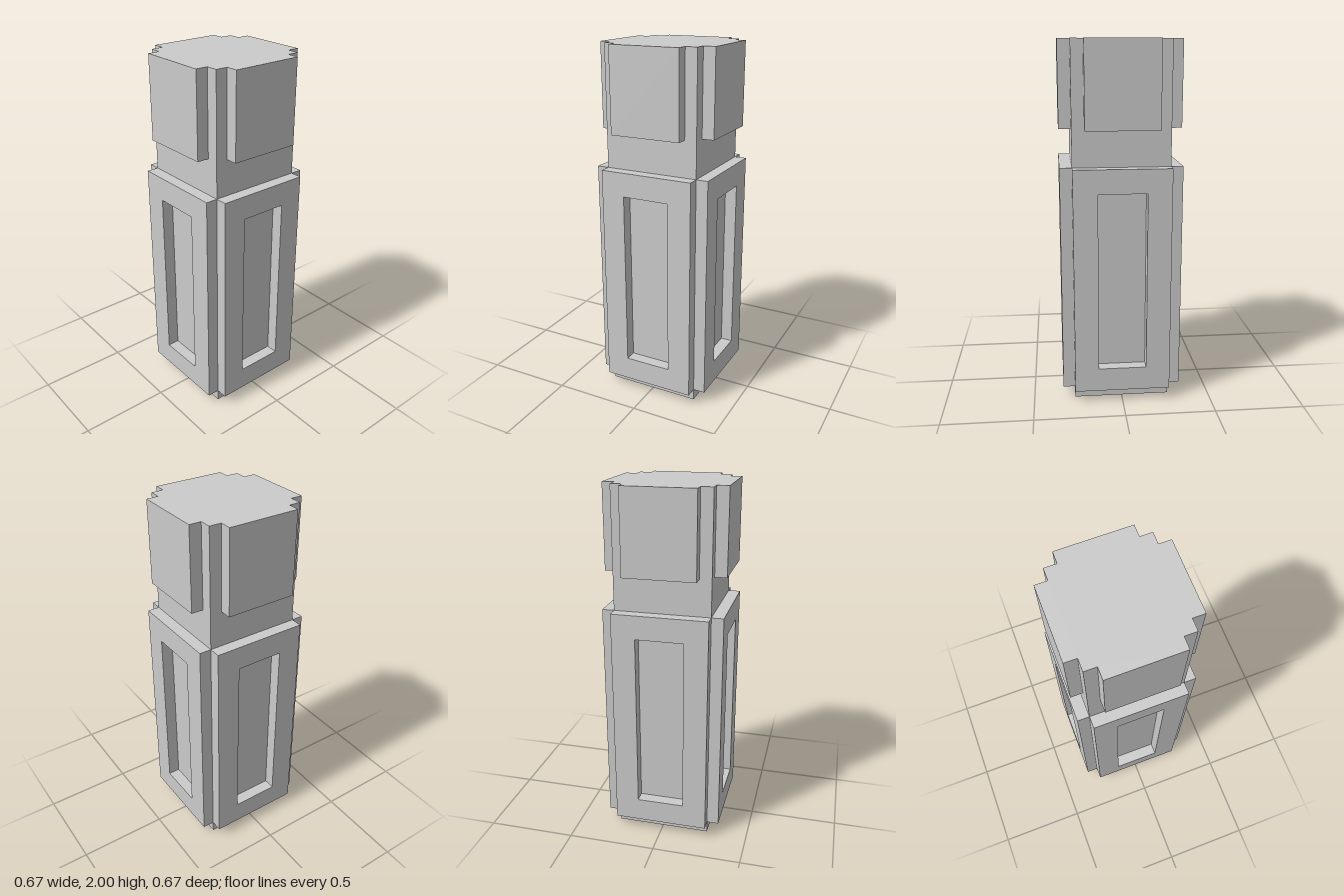
import * as THREE from 'three';

const CORE = 0.2667; // half width of the square core
const DEPTH = 0.0667; // thickness of the applied panels

// Counter-clockwise rectangle centred on x = 0
function rectangle(Type, halfWidth, bottom, top) {
  const shape = new Type();
  shape.moveTo(-halfWidth, bottom);
  shape.lineTo(halfWidth, bottom);
  shape.lineTo(halfWidth, top);
  shape.lineTo(-halfWidth, top);
  shape.closePath();
  return shape;
}

export function createModel() {
  const model = new THREE.Group();
  model.name = 'pillar';
  const material = new THREE.MeshStandardMaterial({ color: 0xcccccc, flatShading: true });

  // Square core running the full height
  const core = new THREE.Mesh(new THREE.BoxGeometry(CORE * 2, 2, CORE * 2), material);
  core.name = 'core';
  core.position.y = 1;
  model.add(core);

  // Lower panel is a frame around a recess, upper panel is a plain block
  const frame = rectangle(THREE.Shape, CORE, 0.0667, 1.3333);
  frame.holes.push(rectangle(THREE.Path, 0.1333, 0.2, 1.2));
  const block = rectangle(THREE.Shape, 0.2, 1.5333, 2);
  const extrude = { depth: DEPTH, bevelEnabled: false };
  const panels = {
    lowerFrame: new THREE.ExtrudeGeometry(frame, extrude),
    upperPanel: new THREE.ExtrudeGeometry(block, extrude),
  };

  // Same pair of panels on all four sides
  ['front', 'left', 'back', 'right'].forEach((sideName, i) => {
    const side = new THREE.Group();
    side.name = sideName + 'Side';
    side.rotation.y = (i * Math.PI) / 2;
    for (const [name, geometry] of Object.entries(panels)) {
      const panel = new THREE.Mesh(geometry, material);
      panel.name = name;
      panel.position.z = CORE;
      side.add(panel);
    }
    model.add(side);
  });

  return model;
}
